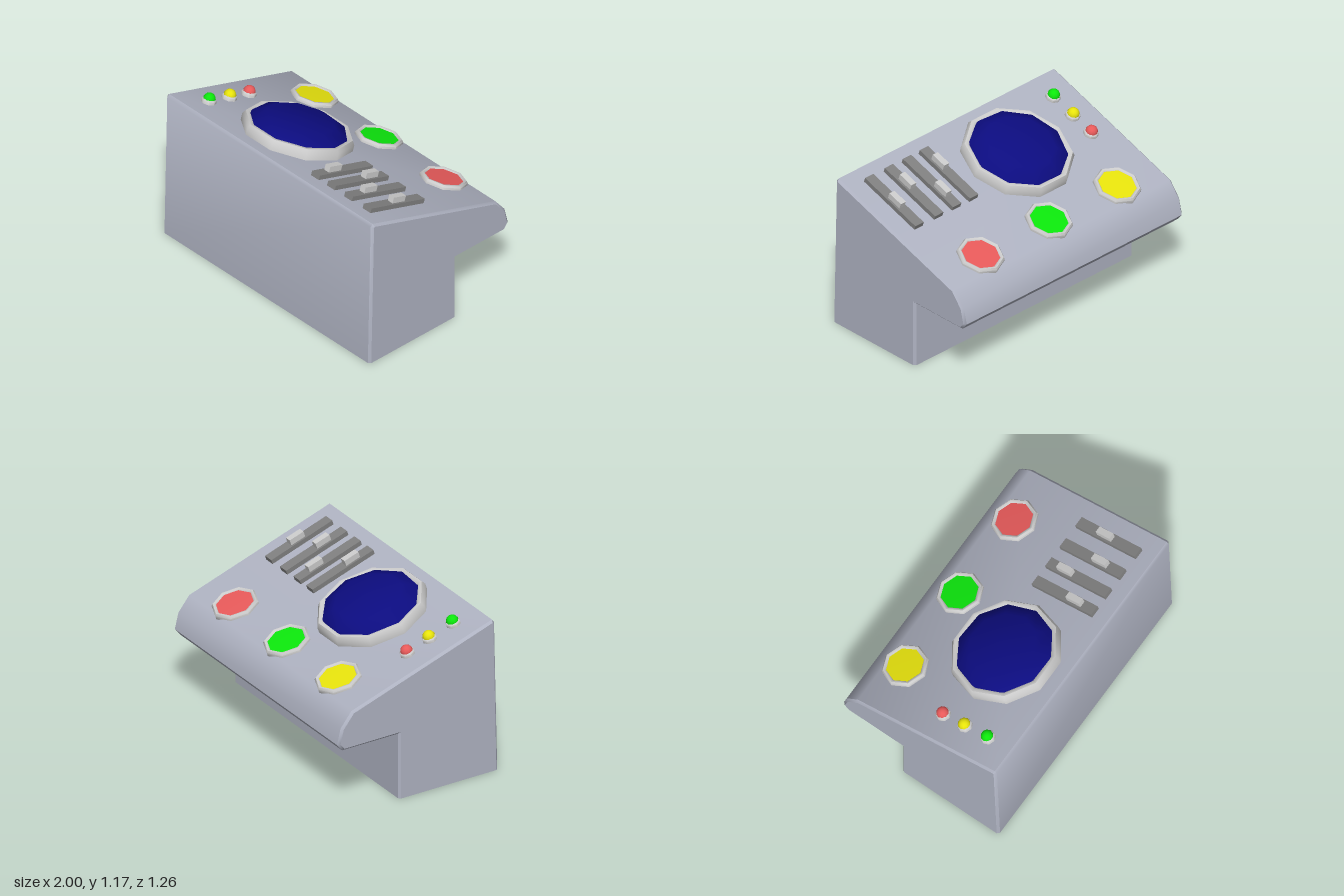
import * as THREE from 'three';
import { toCreasedNormals } from 'three/addons/utils/BufferGeometryUtils.js';

const mat = (color, side = THREE.FrontSide) => new THREE.MeshStandardMaterial({ color, side });
const grey = mat(0xcccccc);
const darkGrey = mat(0x808080);
const paleGrey = mat(0xe4e4e4);
const red = mat(0xe85a5a);
const yellow = mat(0xe8e40c);
const green = mat(0x0ce80c);
const blue = mat(0x0c0c80);
const casing = mat(0xafb3c2, THREE.DoubleSide);

const SLOPE = 0.335; // rise of the control panel per unit of z

function mesh(name, geometry, material, y = 0) {
  const m = new THREE.Mesh(geometry, material);
  m.name = name;
  m.position.y = y;
  return m;
}

// Faceted turned part with one corner on the x axis
function turned(points, sides) {
  const profile = points.map(([r, y]) => new THREE.Vector2(r, y));
  return toCreasedNormals(new THREE.LatheGeometry(profile, sides, Math.PI / 2), 0.9);
}

// Group standing square on the sloped panel
function onPanel(name, x, z, ...parts) {
  const g = new THREE.Group();
  g.name = name;
  g.position.set(x, 0.924 + SLOPE * z, z);
  g.rotation.x = -Math.atan(SLOPE);
  g.add(...parts);
  return g;
}

// Casing: side profile (z, y) swept along x with chamfered ends, open below
function casingGeometry() {
  const outline = [
    [0.63, 0], [0.605, 1.1], [0.588, 1.12], [-0.515, 0.752], [-0.6, 0.645],
    [-0.628, 0.53], [-0.588, 0.48], [-0.15, 0.48], [-0.15, 0],
  ].map(([z, y]) => new THREE.Vector2(z, y));
  const n = outline.length;
  const bevel = 0.016;
  const inward = (i) => {
    const d = outline[i + 1].clone().sub(outline[i]).normalize();
    return new THREE.Vector2(-d.y, d.x);
  };
  const inset = outline.map((p, i) => {
    const a = inward(Math.max(i - 1, 0));
    const b = inward(Math.min(i, n - 2));
    const q = p.clone().addScaledVector(a.clone().add(b), bevel / (1 + a.dot(b)));
    if (p.y === 0) q.y = 0;
    return q;
  });

  const rings = [[-1, inset], [-1 + bevel, outline], [1 - bevel, outline], [1, inset]];
  const positions = [];
  const index = [];
  for (const [x, ring] of rings) for (const p of ring) positions.push(x, p.y, p.x);
  for (let r = 0; r < rings.length - 1; r++) {
    for (let j = 0; j < n - 1; j++) {
      const a = r * n + j;
      const b = a + n;
      index.push(a, b, b + 1, a, b + 1, a + 1);
    }
  }
  // Side walls
  const last = (rings.length - 1) * n;
  for (const [a, b, c] of THREE.ShapeUtils.triangulateShape(inset, [])) {
    index.push(a, b, c, last + a, last + c, last + b);
  }
  const g = new THREE.BufferGeometry();
  g.setAttribute('position', new THREE.Float32BufferAttribute(positions, 3));
  g.setIndex(index);
  return toCreasedNormals(g, 0.7);
}

export function createModel() {
  const model = new THREE.Group();
  model.name = 'controlConsole';
  model.add(mesh('casing', casingGeometry(), casing));

  // Large domed screen in its bezel
  const bezel = mesh('screenBezel', turned([
    [0.385, -0.01], [0.385, 0.045], [0.368, 0.073], [0.348, 0.075], [0.325, 0.055], [0.325, 0],
  ], 10), grey);
  const dome = mesh('screenDome', turned([
    [0.345, 0.05], [0.33, 0.08], [0.237, 0.126], [0, 0.131],
  ], 10), blue);
  dome.rotation.y = -0.07;
  onPanel('screen', -0.22, 0.15, bezel, dome);
  model.add(onPanel('screen', -0.22, 0.15, bezel, dome));

  // Large buttons with octagonal rims
  const rim = turned([
    [0.163, -0.01], [0.163, 0.016], [0.152, 0.03], [0.14, 0.03], [0.128, 0.018], [0.128, 0],
  ], 8);
  const face = turned([[0.136, 0.01], [0.134, 0.021], [0, 0.023]], 8);
  [[-0.625, yellow], [0, green], [0.625, red]].forEach(([x, color]) => {
    model.add(onPanel('button', x, -0.383, mesh('buttonRim', rim, grey), mesh('buttonFace', face, color)));
  });

  // Small indicator lamps
  const socket = turned([[0.052, -0.01], [0.052, 0.02], [0.044, 0.028], [0, 0.028]], 8);
  const bulb = new THREE.SphereGeometry(0.043, 10, 6, 0, Math.PI * 2, 0, Math.PI / 2);
  [[0.045, red], [0.22, yellow], [0.405, green]].forEach(([z, color]) => {
    model.add(onPanel('lamp', -0.8, z, mesh('lampSocket', socket, grey), mesh('lampBulb', bulb, color, 0.025)));
  });

  // Slider tracks, each with its handle at a different setting
  const track = new THREE.BoxGeometry(0.076, 0.045, 0.505);
  const handle = new THREE.BoxGeometry(0.046, 0.055, 0.115);
  [[0.315, 0.335], [0.47, 0.15], [0.635, 0.315], [0.815, 0.228]].forEach(([x, z]) => {
    const knob = mesh('sliderHandle', handle, paleGrey, 0.047);
    knob.position.z = (z - 0.245) / 0.948;
    model.add(onPanel('slider', x, 0.245, mesh('sliderTrack', track, darkGrey, 0.01), knob));
  });

  return model;
}
